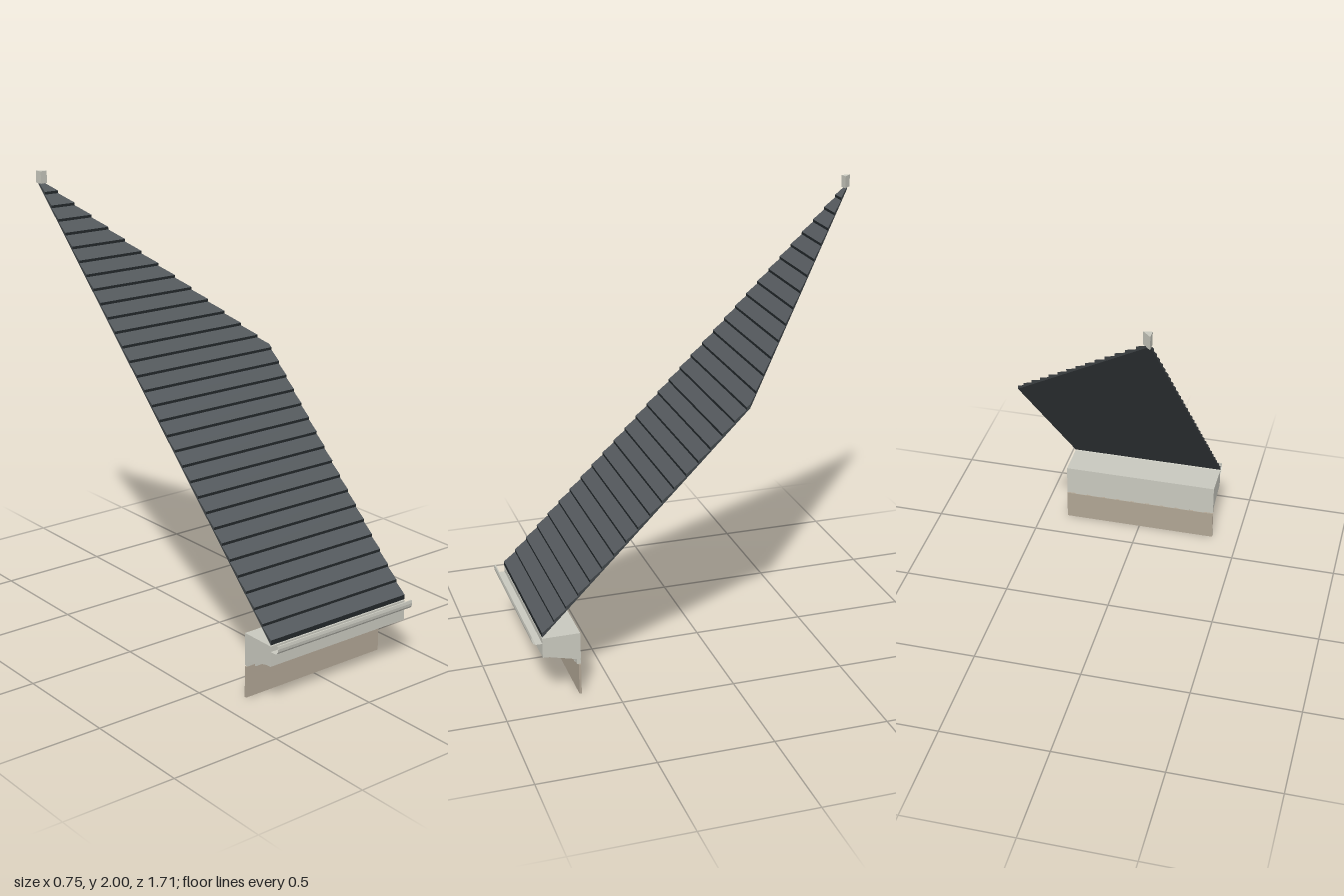
import * as THREE from 'three';

const HALF = 0.3725;

function material(name, color, side = THREE.FrontSide) {
  const m = new THREE.MeshStandardMaterial({ color, side });
  m.name = name;
  return m;
}

// Extrudes a [z, y] outline along x, centred on x = cx
function prism(points, width, cx = 0) {
  const shape = new THREE.Shape(points.map(([z, y]) => new THREE.Vector2(-z, y)));
  const g = new THREE.ExtrudeGeometry(shape, { depth: width, bevelEnabled: false });
  g.rotateY(Math.PI / 2);
  g.translate(cx - width / 2, 0, 0);
  return g;
}

// Triangle soup from quads, four corners counter-clockwise
function quadGeometry(quads) {
  const pos = [];
  for (const [a, b, c, d] of quads) pos.push(...a, ...b, ...c, ...a, ...c, ...d);
  const g = new THREE.BufferGeometry();
  g.setAttribute('position', new THREE.Float32BufferAttribute(pos, 3));
  g.computeVertexNormals();
  return g;
}

export function createModel() {
  const group = new THREE.Group();
  const cream = material('cream trim', 0xc8c8be);
  const creamThin = material('cream gutter', 0xc8c8be, THREE.DoubleSide);
  const tan = material('tan wall', 0xb0a594);
  const slate = material('slate shingle', 0x53585c);
  const dark = material('dark shingle edge', 0x23282b);
  const under = material('roof underside', 0x404548);

  const add = (name, geometry, mat, parent = group) => {
    const mesh = new THREE.Mesh(geometry, mat);
    mesh.name = name;
    parent.add(mesh);
    return mesh;
  };

  // Roof: overlapping courses on a 45 degree pitch, cut along the hip
  const zEave = 0.81, zTop = -0.835, zKink = -0.11, pitch = 0.0532;
  const bottom = 1.105, low = 1.126, high = 1.114;
  const hip = (z) => Math.min(HALF, z - zKink + HALF);
  const L = (z, h) => [-HALF, h - z, z];
  const R = (z, h) => [hip(z), h - z, z];
  const tops = [], risers = [], sides = [], bottoms = [];
  for (let z0 = zEave; z0 > zTop + 0.001; z0 -= pitch) {
    const z1 = Math.max(z0 - pitch, zTop);
    const height = (z) => low + (high - low) * (z0 - z) / pitch;
    const cuts = z0 > zKink && z1 < zKink ? [z0, zKink, z1] : [z0, z1];
    const foot = z0 === zEave ? bottom : high;
    risers.push([L(z0, foot), R(z0, foot), R(z0, low), L(z0, low)]);
    for (let i = 0; i + 1 < cuts.length; i++) {
      const a = cuts[i], b = cuts[i + 1], ha = height(a), hb = height(b);
      tops.push([L(a, ha), R(a, ha), R(b, hb), L(b, hb)]);
      sides.push([R(a, bottom), R(b, bottom), R(b, hb), R(a, ha)]);
      sides.push([L(b, bottom), L(a, bottom), L(a, ha), L(b, hb)]);
      bottoms.push([L(b, bottom), R(b, bottom), R(a, bottom), L(a, bottom)]);
    }
  }
  sides.push([R(zTop, bottom), L(zTop, bottom), L(zTop, high), R(zTop, high)]);
  const roof = new THREE.Group();
  roof.name = 'roof';
  group.add(roof);
  add('shingleCourses', quadGeometry(tops), slate, roof);
  add('shingleButts', quadGeometry(risers), dark, roof);
  add('roofEdges', quadGeometry(sides), under, roof);
  add('roofUnderside', quadGeometry(bottoms), under, roof);

  // Small three-sided finial block where hip and gable edge meet
  const capShape = new THREE.Shape([
    new THREE.Vector2(-HALF, 0.855),
    new THREE.Vector2(-HALF, 0.815),
    new THREE.Vector2(-0.338, 0.82),
  ]);
  const cap = new THREE.ExtrudeGeometry(capShape, { depth: 0.055, bevelEnabled: false });
  cap.rotateX(-Math.PI / 2);
  cap.translate(0, 1.945, 0);
  add('ridgeCap', cap, cream);

  // Boxed eave with a sloping soffit
  add('eaveBox', prism([[0.81, 0.29], [0.81, 0.2], [0.78, 0.198], [0.66, 0.168],
    [0.645, 0.168], [0.645, 0.29]], HALF * 2), cream);

  // Soffit brackets
  for (let i = -2; i <= 2; i++) {
    add('bracket', prism([[0.78, 0.2], [0.775, 0.188], [0.755, 0.167], [0.665, 0.142],
      [0.65, 0.142], [0.65, 0.172]], 0.024, i * 0.15), cream);
  }

  // Bed moulding with a row of small blocks beneath it
  const rail = new THREE.BoxGeometry(HALF * 2, 0.024, 0.017);
  rail.translate(0, 0.157, 0.6545);
  add('bedMoulding', rail, cream);
  for (let i = -4; i <= 4; i++) {
    const block = new THREE.BoxGeometry(0.055, 0.013, 0.015);
    block.translate(i * 0.075, 0.139, 0.6545);
    add('dentil', block, cream);
  }

  // Wall panel
  const wall = new THREE.BoxGeometry(HALF * 2, 0.14, 0.01);
  wall.translate(0, 0.07, 0.65);
  add('wall', wall, tan);

  // Open gutter: flat floor curling up to a lip
  const path = [[0.81, 0.266], [0.838, 0.266], [0.848, 0.27], [0.855, 0.28],
    [0.857, 0.293], [0.855, 0.306], [0.849, 0.306]];
  const gutter = [];
  for (let i = 0; i + 1 < path.length; i++) {
    const [za, ya] = path[i], [zb, yb] = path[i + 1];
    gutter.push([[-HALF, ya, za], [HALF, ya, za], [HALF, yb, zb], [-HALF, yb, zb]].reverse());
  }
  add('gutter', quadGeometry(gutter), creamThin);

  return group;
}
